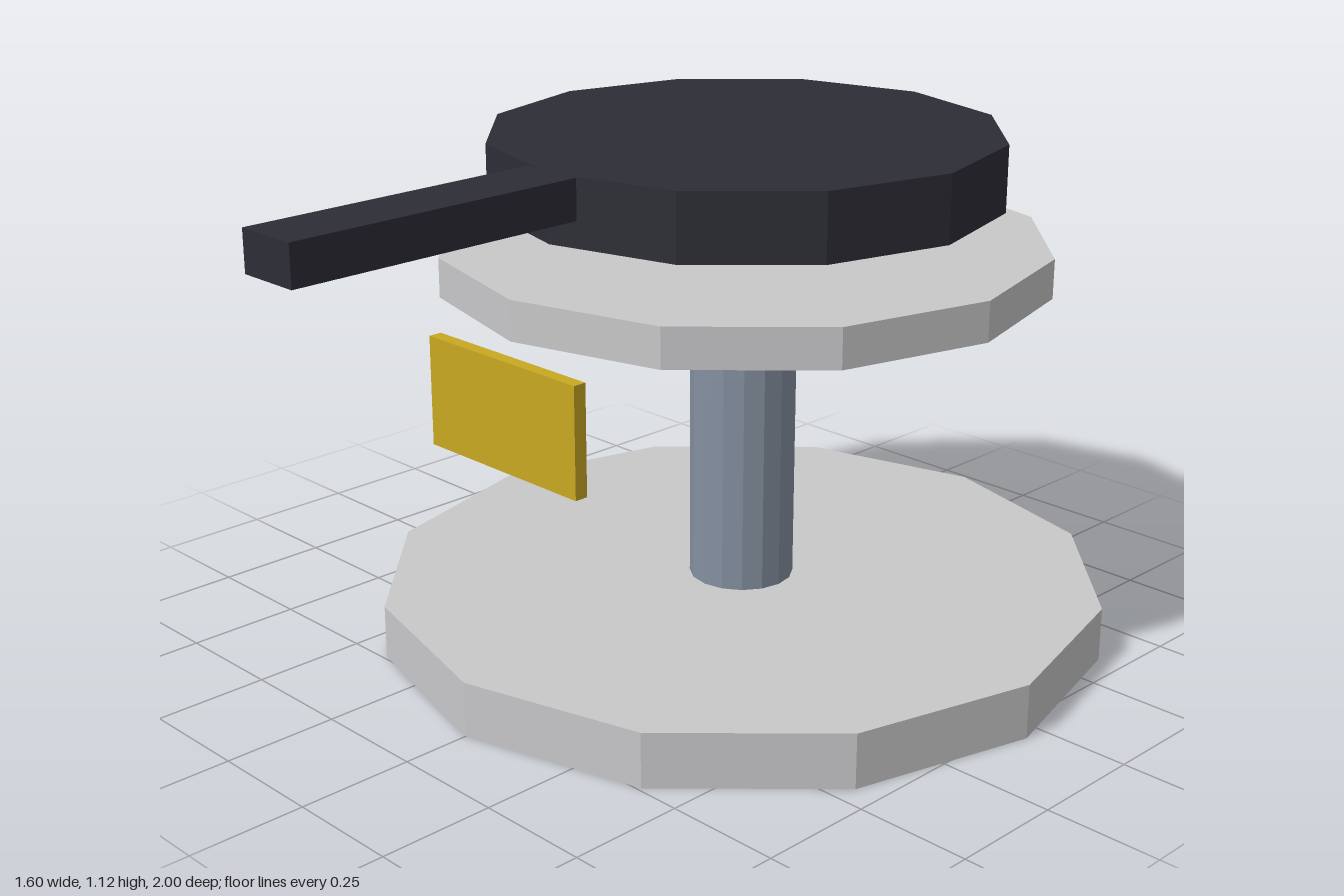
import * as THREE from 'three';

export function createModel() {
  const model = new THREE.Group();
  const mat = (name, color, flatShading = true) => {
    const m = new THREE.MeshStandardMaterial({ color, flatShading });
    m.name = name;
    return m;
  };
  const paleGrey = mat('pale grey', 0xc8c8ca);
  const steel = mat('steel', 0x8590a0);
  const charcoal = mat('charcoal', 0x2d2d36);
  const gold = mat('gold', 0xc9a822);

  const add = (name, geometry, material, x, y, z) => {
    const mesh = new THREE.Mesh(geometry, material);
    mesh.name = name;
    mesh.position.set(x, y, z);
    model.add(mesh);
  };
  // Upright disc or post between two heights, on the common axis
  const axisZ = -0.2;
  const disc = (name, material, radius, y0, y1, sides = 12) =>
    add(name, new THREE.CylinderGeometry(radius, radius, y1 - y0, sides), material, 0, (y0 + y1) / 2, axisZ);

  // Stand
  disc('base', paleGrey, 0.8, 0, 0.12);
  disc('post', steel, 0.115, 0.12, 0.805, 16);
  disc('topPlate', paleGrey, 0.655, 0.805, 0.89);

  // Pan floating above the stand, with its handle to the front
  disc('pan', charcoal, 0.55, 0.98, 1.123);
  add('panHandle', new THREE.BoxGeometry(0.14, 0.085, 0.66), charcoal, 0, 1.0805, 0.67);

  // Sign plate in front of the post
  add('signPlate', new THREE.BoxGeometry(0.432, 0.232, 0.029), gold, 0, 0.658, 0.47);

  return model;
}
